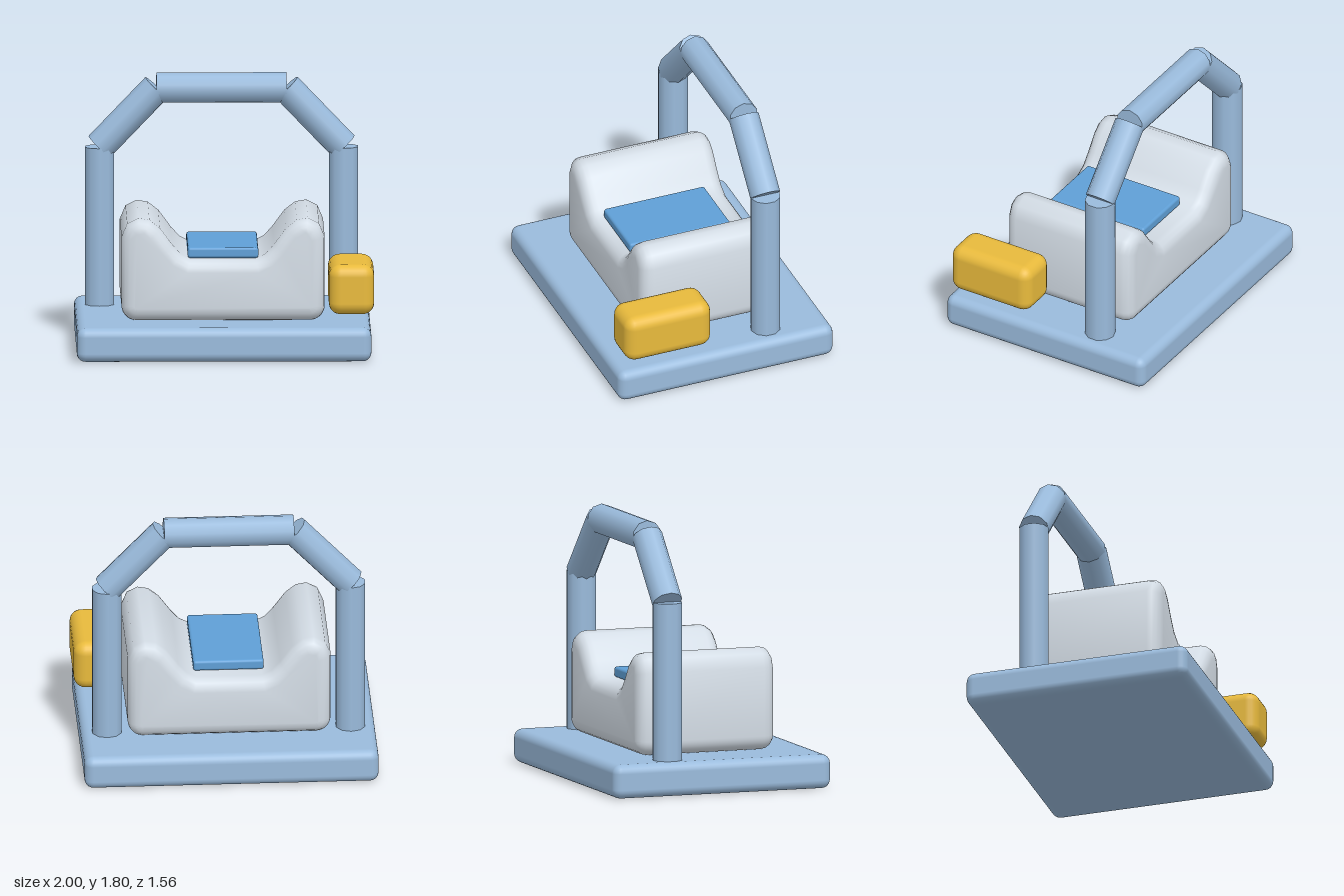
import * as THREE from 'three';
import { RoundedBoxGeometry } from 'three/addons/geometries/RoundedBoxGeometry.js';
import { toCreasedNormals } from 'three/addons/utils/BufferGeometryUtils.js';

const material = (color) => new THREE.MeshStandardMaterial({ color });
const frameBlue = material(0x9abbdc);
const padBlue = material(0x5f9fd6);
const shellGrey = material(0xd3dce5);
const boxYellow = material(0xe8ba3c);

const TUBE_RADIUS = 0.103;
const ARCH_Z = -0.343;

function addMesh(group, name, geometry, mat) {
  const mesh = new THREE.Mesh(geometry, mat);
  mesh.name = name;
  group.add(mesh);
  return mesh;
}

// Rounded box given by its lowest and highest corners
function roundedBox(group, name, min, max, radius, mat) {
  const size = max.map((v, i) => v - min[i]);
  const mesh = addMesh(group, name, new RoundedBoxGeometry(...size, 3, radius), mat);
  mesh.position.set(...max.map((v, i) => (v + min[i]) / 2));
}

// Ten-sided tube between two points of the arch plane
function tube(group, name, [x0, y0], [x1, y1], turn) {
  const a = new THREE.Vector3(x0, y0, ARCH_Z);
  const b = new THREE.Vector3(x1, y1, ARCH_Z);
  const geometry = new THREE.CylinderGeometry(TUBE_RADIUS, TUBE_RADIUS, a.distanceTo(b), 10);
  geometry.rotateY(turn);
  const mesh = addMesh(group, name, geometry, frameBlue);
  mesh.position.copy(a).lerp(b, 0.5);
  mesh.rotation.z = -Math.atan2(x1 - x0, y1 - y0);
}

// Cradle: saddle profile with rounded ends
function cradleGeometry() {
  const w = 0.683, bottom = 0.235, r = 0.1, bevel = 0.085;
  const hump = [
    [w, 0.8], [0.645, 0.89], [0.57, 0.928], [0.495, 0.915], [0.424, 0.86],
    [0.343, 0.75], [0.285, 0.685], [0.22, 0.652],
  ];
  const points = (list, sign) => list.map(([x, y]) => new THREE.Vector2(sign * x, y));
  const shape = new THREE.Shape();
  shape.moveTo(-w + r, bottom);
  shape.lineTo(w - r, bottom);
  shape.absarc(w - r, bottom + r, r, -Math.PI / 2, 0);
  for (const p of points(hump, 1)) shape.lineTo(p.x, p.y);
  for (const p of points(hump, -1).reverse()) shape.lineTo(p.x, p.y);
  shape.absarc(-w + r, bottom + r, r, Math.PI, Math.PI * 1.5);
  const depth = 0.985 - 2 * bevel;
  const geometry = new THREE.ExtrudeGeometry(shape, {
    depth, curveSegments: 5, bevelEnabled: true,
    bevelThickness: bevel, bevelSize: bevel, bevelOffset: -bevel, bevelSegments: 4,
  });
  geometry.translate(-0.0125, 0, -depth / 2);
  return toCreasedNormals(geometry, 0.8);
}

export function createModel() {
  const model = new THREE.Group();
  model.name = 'scanner';

  roundedBox(model, 'base', [-1, 0, -0.78], [0.98, 0.23, 0.78], 0.06, frameBlue);

  addMesh(model, 'cradle', cradleGeometry(), shellGrey);
  roundedBox(model, 'pad', [-0.25, 0.653, -0.33], [0.225, 0.725, 0.4], 0.018, padBlue);

  // Arch: posts, slanted shoulders and a crossbar
  const arch = new THREE.Group();
  arch.name = 'arch';
  model.add(arch);
  const middle = -0.0125;
  for (const [side, s] of [['left', 1], ['right', -1]]) {
    const foot = middle + s * 0.82;
    const shoulder = middle + s * 0.4375;
    tube(arch, side + 'Post', [foot, 0.22], [foot, 1.3], 0);
    tube(arch, side + 'Shoulder', [foot, 1.3], [shoulder, 1.7], Math.PI / 2);
  }
  tube(arch, 'crossbar', [middle - 0.4375, 1.7], [middle + 0.4375, 1.7], Math.PI / 2);

  roundedBox(model, 'sideBox', [0.695, 0.31, 0.11], [1, 0.65, 0.735], 0.08, boxYellow);

  return model;
}
